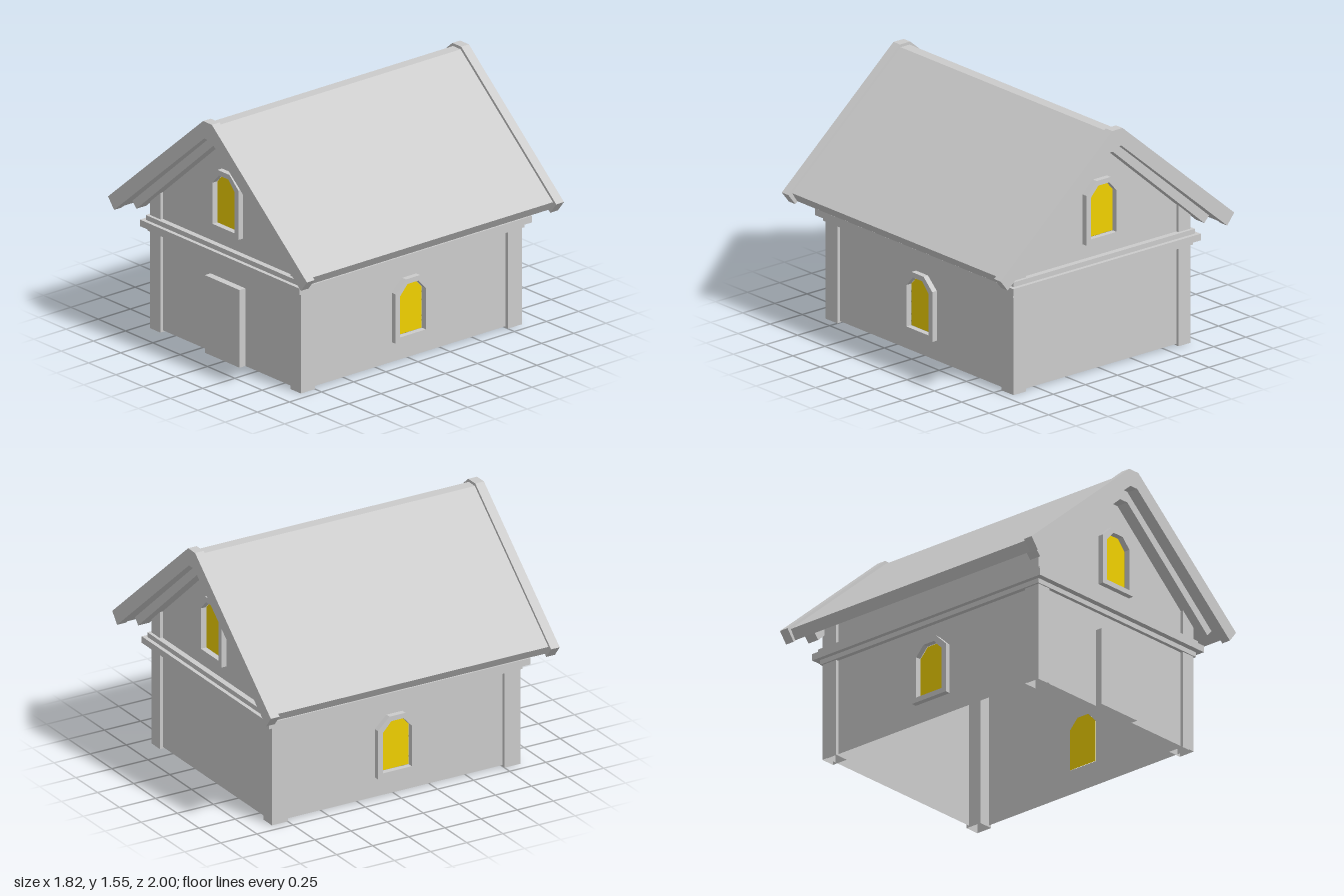
import * as THREE from 'three';

const WALL_X = 0.67, WALL_Z = 0.84; // half sizes of the wall shell
const grey = new THREE.MeshStandardMaterial({ color: 0xcccccc, flatShading: true, side: THREE.DoubleSide });
const yellow = new THREE.MeshStandardMaterial({ color: 0xf0d000, flatShading: true, side: THREE.DoubleSide });

const outline = (pts) => pts.map(([x, y]) => new THREE.Vector2(x, y));

function add(parent, name, geometry, material = grey) {
  const mesh = new THREE.Mesh(geometry, material);
  mesh.name = name;
  parent.add(mesh);
  return mesh;
}

function extrude(pts, z0, z1, hole) {
  const shape = new THREE.Shape(outline(pts));
  if (hole) shape.holes.push(new THREE.Path(outline(hole)));
  return new THREE.ExtrudeGeometry(shape, { depth: z1 - z0, bevelEnabled: false }).translate(0, 0, z0);
}

// Box without the listed faces (0 +x, 1 -x, 2 +y, 3 -y, 4 +z, 5 -z)
function openBox(w, h, d, missing) {
  const box = new THREE.BoxGeometry(w, h, d);
  box.setIndex(Array.from(box.index.array).filter((_, i) => !missing.includes(Math.floor(i / 6))));
  box.clearGroups();
  return box;
}

// Window outline with chamfered head
const arch = (half, y0, ySide, topHalf, y1) =>
  [[-half, y0], [half, y0], [half, ySide], [topHalf, y1], [-topHalf, y1], [-half, ySide]];
const frameOutline = (y) => arch(0.135, y, y + 0.315, 0.055, y + 0.39);
const paneOutline = (y) => arch(0.1, y + 0.032, y + 0.295, 0.042, y + 0.358);

// Upside-down V: outer and inner ridge heights with the two eave corners
const chevron = (topHalf, top, outer, inner, lowHalf, low) => [
  [-topHalf, top], [-outer[0], outer[1]], [-inner[0], inner[1]], [-lowHalf, low],
  [lowHalf, low], [inner[0], inner[1]], [outer[0], outer[1]], [topHalf, top]];

const rectangle = (x, z) => [[-x, -z], [x, -z], [x, z], [-x, z]];

// Flat wall with a window, facing +z at the given distance
function wallWithWindow(parent, name, pts, windowY, distance, turn) {
  const side = new THREE.Group();
  side.name = name;
  side.rotation.y = turn;
  const shape = new THREE.Shape(outline(pts));
  shape.holes.push(new THREE.Path(outline(paneOutline(windowY))));
  add(side, 'wall', new THREE.ShapeGeometry(shape).translate(0, 0, distance));
  add(side, 'windowFrame', extrude(frameOutline(windowY), distance, distance + 0.035, paneOutline(windowY)));
  add(side, 'windowPane', new THREE.ShapeGeometry(new THREE.Shape(outline(paneOutline(windowY))))
    .translate(0, 0, distance - 0.004), yellow);
  parent.add(side);
  return side;
}

export function createModel() {
  const house = new THREE.Group();
  house.name = 'house';

  // Gable walls; the front one has a door opening
  const gableTop = [[WALL_X, 0.92], [0.03, 1.465], [-0.03, 1.465], [-WALL_X, 0.92], [-WALL_X, 0.01]];
  const doorway = [[-0.158, 0.01], [-0.158, 0.503], [0.158, 0.503], [0.158, 0.01]];
  wallWithWindow(house, 'frontGable', [...doorway, [WALL_X, 0.01], ...gableTop], 0.815, WALL_Z, 0);
  wallWithWindow(house, 'backGable', [[WALL_X, 0.01], ...gableTop], 0.815, WALL_Z, Math.PI);

  // Side walls
  const sidePts = [[-WALL_Z, 0.01], [WALL_Z, 0.01], [WALL_Z, 0.92], [-WALL_Z, 0.92]];
  wallWithWindow(house, 'leftSide', sidePts, 0.135, WALL_X, Math.PI / 2);
  wallWithWindow(house, 'rightSide', sidePts, 0.135, WALL_X, -Math.PI / 2);

  // Door, hollow towards the inside
  add(house, 'door', openBox(0.318, 0.495, 0.045, [3, 5])).position.set(0, 0.2575, 0.8625);

  // Corner posts, open at the foot
  for (const sx of [-1, 1]) for (const sz of [-1, 1]) {
    add(house, 'cornerPost', openBox(0.095, 0.89, 0.11, [3])).position.set(sx * 0.6425, 0.445, sz * 0.805);
  }

  // Stepped belt moulding around the walls
  for (const [x, z, y0, y1] of [[0.702, 0.868, 0.62, 0.65], [0.73, 0.905, 0.65, 0.692], [0.706, 0.88, 0.692, 0.722]]) {
    add(house, 'beltMoulding', extrude(rectangle(x, z), -y1, -y0, rectangle(WALL_X + 0.003, WALL_Z + 0.003))
      .rotateX(Math.PI / 2));
  }

  // Roof slab
  add(house, 'roof', extrude(chevron(0.035, 1.535, [0.88, 0.815], [0.84, 0.755], 0.03, 1.455), -0.945, 0.945));

  // Verge boards and the inner trim under them, at both ends
  const verge = chevron(0.04, 1.553, [0.91, 0.81], [0.855, 0.74], 0.03, 1.445);
  const trim = chevron(0.03, 1.452, [0.782, 0.8], [0.745, 0.76], 0.032, 1.382);
  for (const turn of [0, Math.PI]) {
    const end = new THREE.Group();
    end.name = 'roofEnd';
    end.rotation.y = turn;
    add(end, 'vergeBoard', extrude(verge, 0.94, 1));
    add(end, 'gableTrim', extrude(trim, WALL_Z + 0.002, 0.92));
    house.add(end);
  }
  return house;
}
